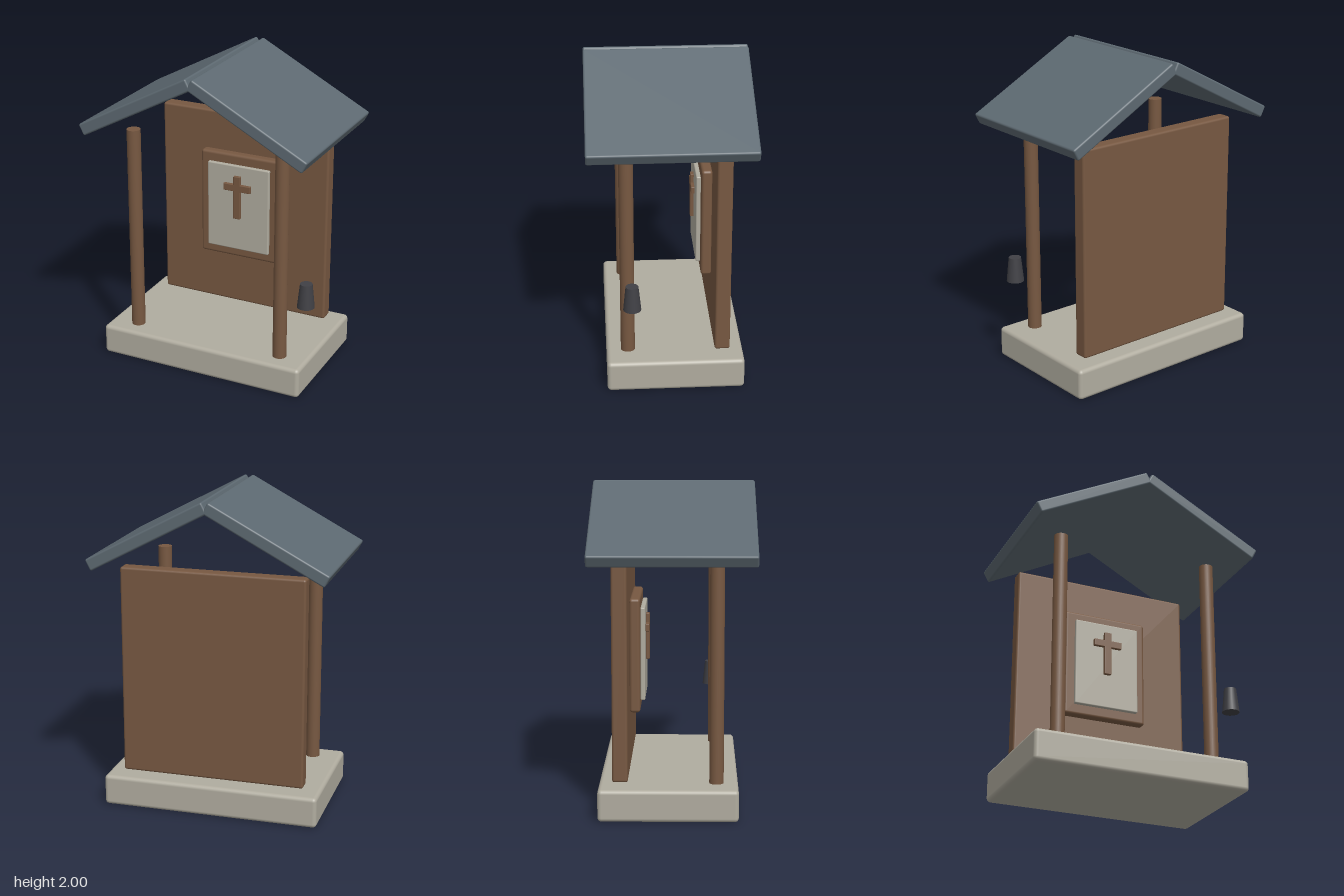
import * as THREE from 'three';
import { RoundedBoxGeometry } from 'three/addons/geometries/RoundedBoxGeometry.js';

const material = (name, color) => {
  const m = new THREE.MeshStandardMaterial({ color });
  m.name = name;
  return m;
};

export function createModel() {
  const group = new THREE.Group();
  const wood = material('wood', 0x775841);
  const stone = material('stone', 0xb0ac9f);
  const slate = material('slate', 0x5d6971);
  const iron = material('iron', 0x404045);

  const add = (name, geometry, mat, x, y, z) => {
    const mesh = new THREE.Mesh(geometry, mat);
    mesh.name = name;
    mesh.position.set(x, y, z);
    group.add(mesh);
    return mesh;
  };
  // Rounded block given by its limits, centred on x = 0
  const block = (name, mat, halfWidth, y0, y1, z0, z1, r) =>
    add(name, new RoundedBoxGeometry(halfWidth * 2, y1 - y0, z1 - z0, 3, r), mat, 0, (y0 + y1) / 2, (z0 + z1) / 2);

  // Plinth and back wall
  block('base', stone, 0.69, 0, 0.197, -0.45, 0.4, 0.025);
  block('backWall', wood, 0.585, 0.217, 1.546, -0.365, -0.27, 0.015);

  // Framed panel with a small cross
  block('panelFrame', wood, 0.278, 0.577, 1.292, -0.271, -0.205, 0.018);
  block('panel', stone, 0.217, 0.643, 1.228, -0.205, -0.176, 0.008);
  block('crossUpright', wood, 0.024, 0.868, 1.162, -0.177, -0.154, 0.004);
  block('crossBar', wood, 0.095, 1.059, 1.106, -0.177, -0.154, 0.004);

  // Front posts and sloping roof panels, mirrored
  const tilt = THREE.MathUtils.degToRad(28);
  for (const side of [1, -1]) {
    add('frontPost', new THREE.CylinderGeometry(0.044, 0.044, 1.36, 24), wood, side * 0.505, 0.866, 0.267);
    const roof = add('roofPanel', new RoundedBoxGeometry(0.837, 0.078, 1.005, 3, 0.012), slate, side * 0.371, 1.772, 0);
    roof.rotation.z = -side * tilt;
  }

  // Small bell beside the left post
  add('bell', new THREE.CylinderGeometry(0.039, 0.055, 0.157, 20), iron, 0.665, 0.643, 0.242);

  return group;
}
